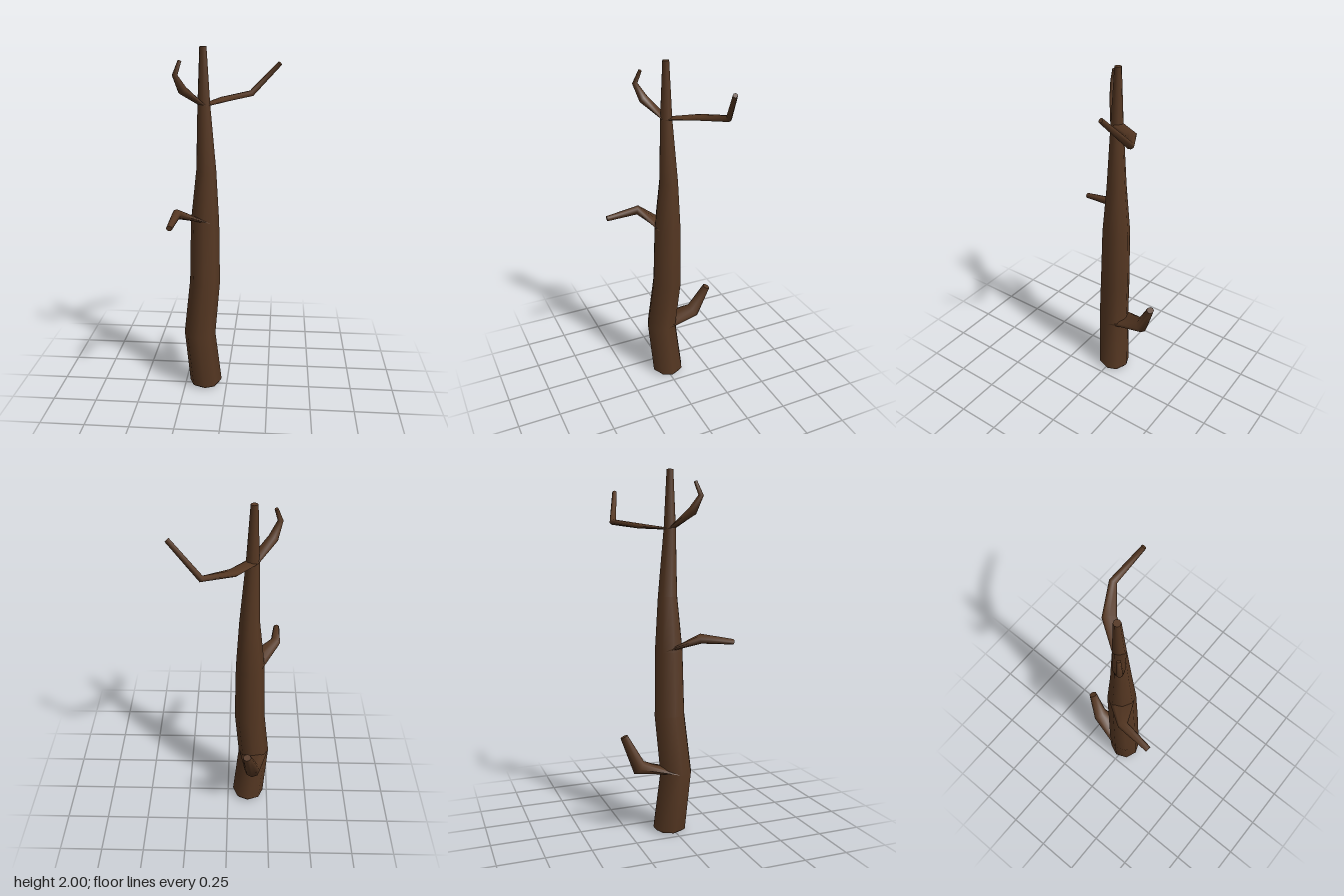
import * as THREE from 'three';

const SIDES = 8;

// Lofts a tapering limb through rings [x, y, z, halfWidth, halfThickness].
// 'start' is the direction the first ring faces, 'side' the direction of its width.
function limb(rings, start, side) {
  const pts = rings.map(r => new THREE.Vector3(r[0], r[1], r[2]));
  const last = pts.length - 1;
  const dir = i => pts[i + 1].clone().sub(pts[i]).normalize();
  const pos = [], index = [], loops = [], s = side.clone();

  rings.forEach(([, , , w, v = w], i) => {
    const t = i === 0 ? start.clone()
      : i === last ? dir(i - 1)
        : dir(i - 1).add(dir(i)).normalize();
    s.addScaledVector(t, -s.dot(t)).normalize();
    const n = new THREE.Vector3().crossVectors(t, s);
    const loop = [];
    for (let j = 0; j < SIDES; j++) {
      const a = (j / SIDES) * Math.PI * 2;
      loop.push(pts[i].clone()
        .addScaledVector(s, Math.cos(a) * w)
        .addScaledVector(n, Math.sin(a) * v));
    }
    loops.push(loop);
    loop.forEach(p => pos.push(p.x, p.y, p.z));
  });

  // side walls
  for (let i = 0; i < last; i++) {
    for (let j = 0; j < SIDES; j++) {
      const k = (j + 1) % SIDES;
      const a = i * SIDES + j, b = i * SIDES + k;
      index.push(a, b, b + SIDES, a, b + SIDES, a + SIDES);
    }
  }
  // flat end caps with their own vertices
  [[loops[0], true], [loops[last], false]].forEach(([loop, flip]) => {
    const base = pos.length / 3;
    loop.forEach(p => pos.push(p.x, p.y, p.z));
    for (let j = 1; j < SIDES - 1; j++) {
      if (flip) index.push(base, base + j + 1, base + j);
      else index.push(base, base + j, base + j + 1);
    }
  });

  const g = new THREE.BufferGeometry();
  g.setAttribute('position', new THREE.Float32BufferAttribute(pos, 3));
  g.setIndex(index);
  g.computeVertexNormals();
  return g;
}

export function createModel() {
  const group = new THREE.Group();
  group.name = 'bareTree';
  const bark = new THREE.MeshStandardMaterial({ color: 0x553722 });
  bark.name = 'bark brown';
  const up = new THREE.Vector3(0, 1, 0);

  const add = (name, geometry) => {
    const mesh = new THREE.Mesh(geometry, bark);
    mesh.name = name;
    group.add(mesh);
  };

  // crooked, tapering trunk with a small bevel at the foot
  add('trunk', limb([
    [-0.127, 0, -0.013, 0.078],
    [-0.128, 0.02, -0.013, 0.096],
    [-0.158, 0.35, 0.014, 0.092],
    [-0.128, 0.67, -0.012, 0.088],
    [-0.125, 1.03, -0.016, 0.081],
    [-0.116, 1.33, -0.02, 0.056],
    [-0.125, 1.69, -0.011, 0.035],
    [-0.127, 2, -0.011, 0.019],
  ], up, new THREE.Vector3(1, 0, 0)));

  // branches spread out of the trunk as flat wedges, then become round
  const branches = {
    lowBackBranch: [
      [-0.158, 0.35, 0.014, 0.09, 0.004],
      [-0.148, 0.39, -0.2, 0.046, 0.044],
      [-0.115, 0.565, -0.275, 0.024, 0.021],
    ],
    middleFrontBranch: [
      [-0.125, 1.03, -0.016, 0.078, 0.006],
      [-0.267, 1.11, 0.113, 0.029, 0.027],
      [-0.28, 1.085, 0.3, 0.017, 0.015],
    ],
    upperFrontBranch: [
      [-0.125, 1.685, -0.011, 0.035, 0.006],
      [-0.228, 1.78, 0.076, 0.028, 0.026],
      [-0.262, 1.86, 0.11, 0.015],
      [-0.238, 1.932, 0.088, 0.01],
    ],
    upperBackBranch: [
      [-0.125, 1.69, -0.011, 0.035, 0.005],
      [-0.026, 1.707, -0.155, 0.037, 0.014],
      [0.122, 1.73, -0.255, 0.021, 0.017],
      [0.282, 1.902, -0.195, 0.013],
    ],
  };
  for (const [name, rings] of Object.entries(branches)) {
    const [a, b] = rings;
    const heading = new THREE.Vector3(b[0] - a[0], 0, b[2] - a[2]).normalize();
    const side = new THREE.Vector3().crossVectors(up, heading);
    add(name, limb(rings, heading, side));
  }

  return group;
}
